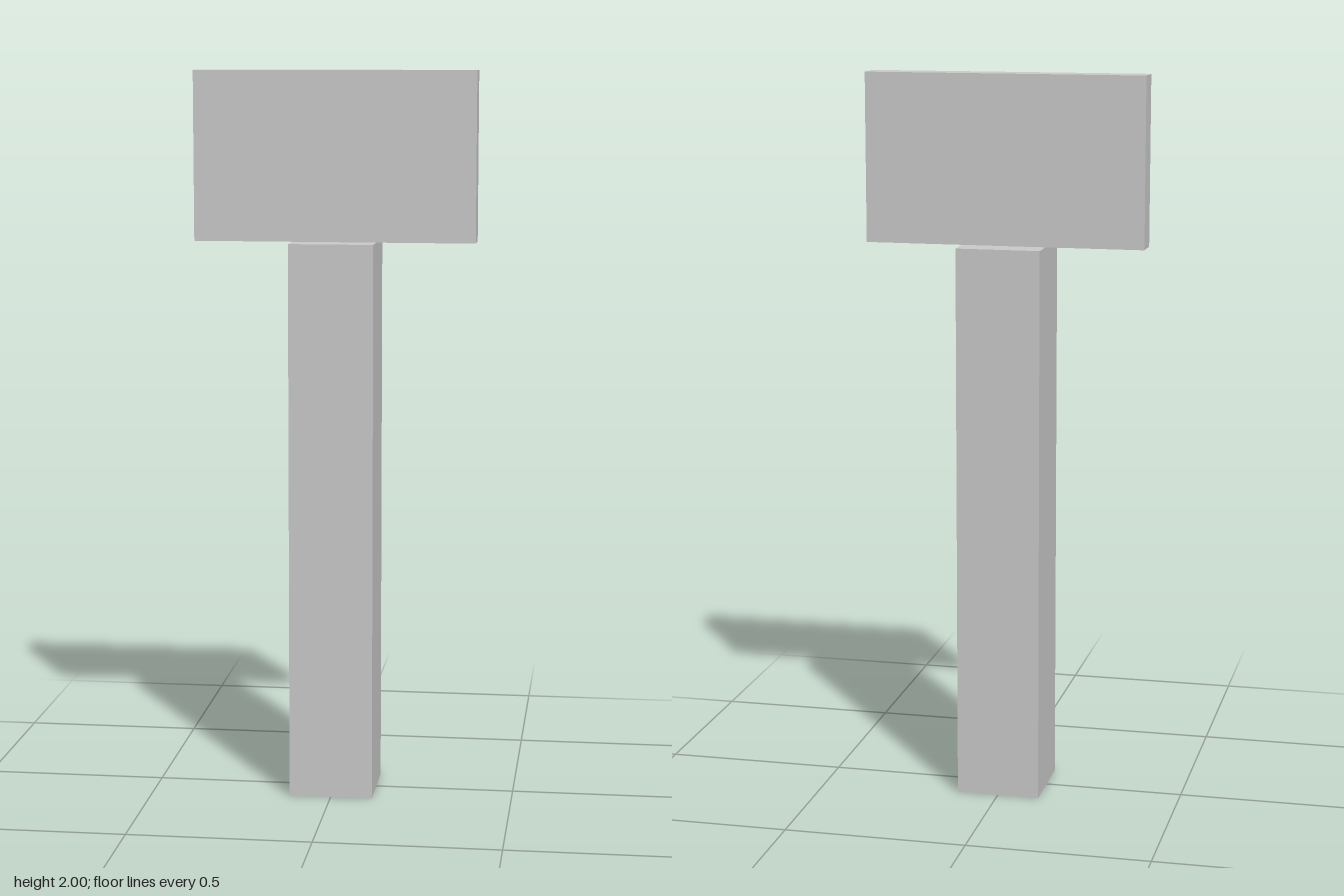
import * as THREE from 'three';

const UNIT = 2 / 26; // the sign is 26 units tall

export function createModel() {
  const sign = new THREE.Group();
  sign.name = 'signpost';
  const material = new THREE.MeshStandardMaterial({ color: 0xcccccc, flatShading: true });

  // Adds a box sized in units, standing on the given height
  const addBox = (name, width, height, depth, bottom) => {
    const geometry = new THREE.BoxGeometry(width * UNIT, height * UNIT, depth * UNIT);
    const mesh = new THREE.Mesh(geometry, material);
    mesh.name = name;
    mesh.position.y = (bottom + height / 2) * UNIT;
    sign.add(mesh);
  };

  // Square post
  addBox('post', 3, 20, 3, 0);
  // Thin board resting on the post
  addBox('board', 10, 6, 1, 20);

  return sign;
}
